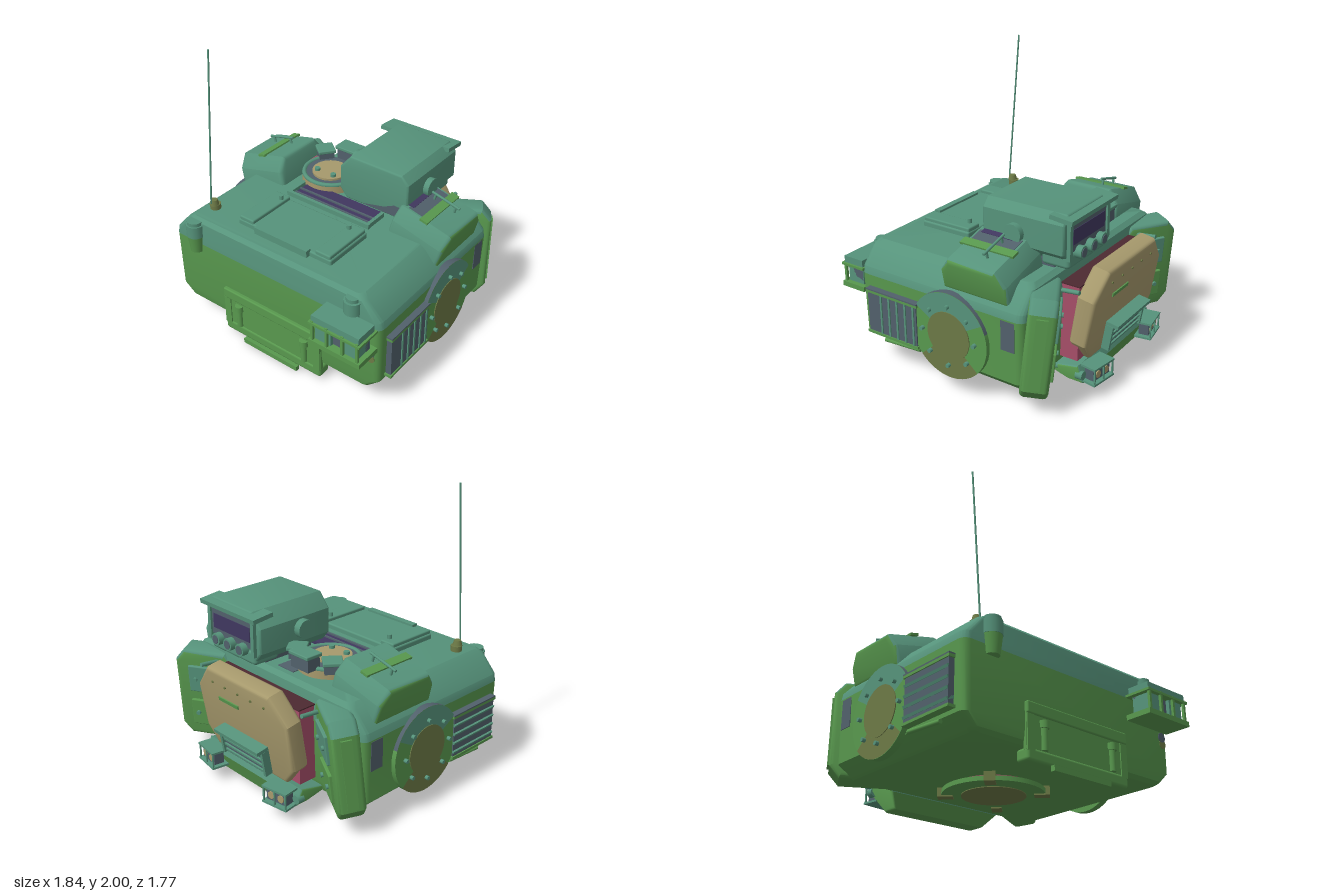
import * as THREE from 'three';
import { toCreasedNormals } from 'three/addons/utils/BufferGeometryUtils.js';
import { RoundedBoxGeometry } from 'three/addons/geometries/RoundedBoxGeometry.js';

export function createModel() {
  const paint = (name, color) => {
    const m = new THREE.MeshStandardMaterial({ color });
    m.name = name;
    return m;
  };
  const teal = paint('teal', 0x56937b), green = paint('green', 0x58984e), slate = paint('slate', 0x51606b);
  const tan = paint('tan', 0xa6996c), olive = paint('olive', 0x6c7946), purple = paint('purple', 0x40375f);
  const pink = paint('rose', 0xa54e68), maroon = paint('maroon', 0x4d2a31);

  const root = new THREE.Group();
  root.name = 'armouredTurret';
  const group = (name, x, y, z, parent = root) => {
    const g = new THREE.Group();
    g.name = name;
    g.position.set(x, y, z);
    parent.add(g);
    return g;
  };
  const add = (name, geo, mat, x, y, z, parent = root) => {
    const m = new THREE.Mesh(geo, mat);
    m.name = name;
    m.position.set(x, y, z);
    parent.add(m);
    return m;
  };
  const box = (name, mat, w, h, d, x, y, z, parent) =>
    add(name, new THREE.BoxGeometry(w, h, d), mat, x, y, z, parent);
  const soft = (name, mat, w, h, d, x, y, z, parent) =>
    add(name, new RoundedBoxGeometry(w, h, d, 2, Math.min(w, h, d) * 0.25), mat, x, y, z, parent);
  // Cylinder along axis 'x', 'y' or 'z'
  const cylGeo = (r, len, axis, r2 = r) => {
    const g = new THREE.CylinderGeometry(r, r2, len, r > 0.1 ? 40 : 14);
    if (axis === 'x') g.rotateZ(-Math.PI / 2);
    if (axis === 'z') g.rotateX(Math.PI / 2);
    return g;
  };
  const cyl = (name, mat, r, len, axis, x, y, z, parent, r2) =>
    add(name, cylGeo(r, len, axis, r2), mat, x, y, z, parent);
  const rod = (name, mat, r, a, b, parent) => {
    const p = new THREE.Vector3(...a), q = new THREE.Vector3(...b), d = q.clone().sub(p);
    const m = cyl(name, mat, r, d.length(), 'y', (a[0] + b[0]) / 2, (a[1] + b[1]) / 2, (a[2] + b[2]) / 2, parent);
    m.quaternion.setFromUnitVectors(new THREE.Vector3(0, 1, 0), d.normalize());
    return m;
  };
  // Outline extruded with rounded edges, centred on z
  const prism = (pts, depth, bevel) => {
    const g = new THREE.ExtrudeGeometry(new THREE.Shape(pts.map(p => new THREE.Vector2(...p))), {
      depth: depth - 2 * bevel, bevelThickness: bevel, bevelSize: bevel, bevelSegments: 3, bevelEnabled: true });
    g.translate(0, 0, bevel - depth / 2);
    return toCreasedNormals(g, 0.6);
  };
  // Second material on the faces whose normal passes the rule
  const twoTone = (geo, rule) => {
    const g = geo.index ? geo.toNonIndexed() : geo;
    const n = g.attributes.normal;
    g.clearGroups();
    for (let i = 0; i < n.count; i += 3) {
      const sum = [0, 1, 2].reduce((v, k) => v.add(new THREE.Vector3().fromBufferAttribute(n, i + k)), new THREE.Vector3());
      const slot = rule(sum.normalize()) ? 1 : 0, prev = g.groups[g.groups.length - 1];
      if (prev && prev.materialIndex === slot) prev.count += 3;
      else g.addGroup(i, 3, slot);
    }
    return g;
  };
  // Stack of rounded rectangles [y, halfWidth, zBack, zFront, cornerRadius]
  const loft = sections => {
    const pos = [], idx = [], n = 20;
    for (const [y, hx, zb, zf, r] of sections)
      for (let c = 0; c < 4; c++)
        for (let k = 0; k < 5; k++) {
          const a = (c + k / 4) * Math.PI / 2;
          pos.push((c === 0 || c === 3 ? hx - r : r - hx) + r * Math.cos(a), y, (c < 2 ? zf - r : zb + r) + r * Math.sin(a));
        }
    const last = (sections.length - 1) * n;
    for (let i = 0; i < n; i++) {
      const j = (i + 1) % n;
      for (let o = 0; o < last; o += n) idx.push(o + i, o + n + i, o + n + j, o + i, o + n + j, o + j);
      if (i > 0 && i < n - 1) idx.push(0, i, i + 1, last, last + i + 1, last + i);
    }
    const g = new THREE.BufferGeometry();
    g.setAttribute('position', new THREE.Float32BufferAttribute(pos, 3));
    g.setIndex(idx);
    return toCreasedNormals(g, 0.55);
  };

  // Hull in two paint bands
  add('lowerHull', loft([[0.13, 0.76, -0.55, 0.65, 0.04], [0.15, 0.79, -0.57, 0.68, 0.05], [0.22, 0.86, -0.59, 0.69, 0.05],
    [0.65, 0.87, -0.6, 0.69, 0.05]]), green, 0, 0, 0);
  add('upperHull', loft([[0.65, 0.87, -0.6, 0.69, 0.05], [0.7, 0.86, -0.6, 0.69, 0.05], [0.82, 0.75, -0.59, 0.685, 0.04],
    [0.847, 0.71, -0.56, 0.66, 0.04]]), teal, 0, 0, 0);
  cyl('paintSpot', slate, 0.034, 0.006, 'z', 0.8, 0.455, 0.69);
  cyl('paintSpot', olive, 0.03, 0.006, 'z', 0.805, 0.41, 0.69);
  box('roofPatch', slate, 0.15, 0.006, 0.2, -0.075, 0.849, -0.42);

  for (const s of [-1, 1]) {
    // Shoulder pod with green outer face, strap and grab handle
    const pod = group('shoulderPod', s * 0.67, 0.885, -0.23);
    pod.rotation.z = -s * 0.25;
    const shell = prism([[-0.22, -0.1], [0.22, -0.1], [0.215, 0], [0.16, 0.075], [-0.16, 0.075], [-0.215, 0]], 0.41, 0.03);
    add('podShell', twoTone(shell.rotateY(Math.PI / 2), n => n.x * s > 0.7), [teal, green], 0, 0, 0, pod);
    box('podStrap', green, 0.06, 0.016, 0.4, s * -0.005, 0.108, 0, pod);
    rod('handleBar', teal, 0.009, [-0.11, 0.15, -0.05], [0.11, 0.15, -0.05], pod);
    for (const x of [-0.08, 0.08]) rod('handlePost', teal, 0.009, [x, 0.1, -0.05], [x, 0.15, -0.05], pod);

    // Round side mount
    const hub = group('sideMount', s * 0.885, 0.42, -0.06);
    add('mountRing', twoTone(cylGeo(0.295, 0.05, 'x'), n => n.y > 0.35), [green, slate], -s * 0.013, 0, 0, hub);
    for (const [mat, mid, span] of [[teal, Math.PI / 2, 2.1], [olive, -Math.PI / 2, 1.7]]) {
      const arc = add('ringBand', new THREE.RingGeometry(0.165, 0.294, 24, 1, mid - span / 2, span), mat, s * 0.014, 0, 0, hub);
      arc.rotation.y = s * Math.PI / 2;
    }
    cyl('mountDisc', olive, 0.165, 0.02, 'x', s * 0.008, 0, 0, hub);
    for (let i = 0; i < 8; i++) {
      const a = i * Math.PI / 4;
      cyl('mountBolt', teal, 0.014, 0.03, 'x', s * 0.022, 0.205 * Math.sin(a), 0.205 * Math.cos(a), hub);
    }
    box('sidePatch', slate, 0.006, 0.2, 0.1, s * 0.868, 0.54, -0.49);

    // Side vent, upright bars on one side and louvres on the other
    const vent = group('sideVent', s * 0.885, 0.405, 0.4);
    box('ventPanel', slate, 0.04, 0.3, 0.41, 0, 0, 0, vent);
    box('ventRail', slate, 0.055, 0.01, 0.43, 0, 0.16, 0, vent);
    for (const y of [-0.15, 0.147]) box('ventRail', green, 0.055, 0.018, 0.43, 0, y, 0, vent);
    if (s > 0) for (let i = 0; i < 5; i++) box('ventBar', teal, 0.055, 0.28, 0.014, 0, 0, 0.09 - i * 0.068, vent);
    else for (let i = 0; i < 4; i++) box('ventLouvre', teal, 0.06, 0.018, 0.41, 0, -0.1 + i * 0.065, 0, vent).rotation.z = 0.4;
    rod('sideLever', green, 0.014, [s * 0.87, 0.2, 0.5], [s * 0.87, 0.22, 0.2]);

    // Angled rear wing with teal upper faces
    const wing = group('rearWing', s * 0.655, 0.47, -0.585);
    wing.rotation.set(-0.1, s * 0.52, 0, 'YXZ');
    add('wingShell', twoTone(prism([[-0.19, -0.25], [-0.14, -0.31], [0.14, -0.31], [0.19, -0.25], [0.19, 0.25], [0.14, 0.31],
      [-0.14, 0.31], [-0.19, 0.25]], 0.18, 0.03), n => n.y > 0.25), [green, teal], 0, 0, 0, wing);
    box('wingStrip', green, 0.02, 0.48, 0.07, s * 0.222, 0, 0, wing);
    for (const [y, mat] of [[-0.14, green], [0.13, teal]]) {
      soft('wingPlate', mat, 0.24, 0.2, 0.03, 0, y, -0.095, wing);
      for (const x of [-0.07, 0.07]) cyl('wingBolt', teal, 0.016, 0.02, 'z', x, y, -0.115, wing);
    }
    rod('wingHinge', teal, 0.014, [s * 0.51, 0.74, -0.58], [s * 0.51, 0.76, -0.77]);
  }
  // Dark paint beside the weapon
  const patch = group('podPatch', 0.67, 0.885, -0.23);
  patch.rotation.z = -0.25;
  box('slatePatch', slate, 0.11, 0.006, 0.32, -0.09, 0.105, 0, patch);
  box('purplePatch', purple, 0.04, 0.006, 0.24, -0.14, 0.108, 0.02, patch);

  // Roof hatch
  const hatch = group('roofHatch', 0, 0.845, 0.355);
  soft('hatchPlate', teal, 0.78, 0.05, 0.39, 0, 0.015, 0, hatch);
  for (const s of [-1, 1]) {
    soft('hatchRail', teal, 0.12, 0.04, 0.38, s * 0.32, 0.045, 0, hatch);
    cyl('hatchPin', teal, 0.016, 0.04, 'y', s * 0.29, 0.075, -0.13, hatch);
  }
  box('hatchLatch', teal, 0.44, 0.05, 0.045, 0, 0.03, 0.205, hatch);

  // Roof grille
  box('grilleWell', purple, 0.64, 0.03, 0.18, 0.01, 0.855, -0.02);
  box('grilleFrame', teal, 0.7, 0.04, 0.025, -0.005, 0.86, 0.075);
  for (const x of [-0.34, 0.33]) box('grilleSide', teal, 0.025, 0.04, 0.18, x, 0.86, -0.01);
  for (const z of [-0.005, 0.05]) box('grilleSlat', slate, 0.64, 0.02, 0.014, 0.01, 0.87, z);

  // Round crew hatch with three sight blocks
  const ring = group('crewHatch', -0.24, 0.85, -0.28);
  cyl('hatchBase', tan, 0.215, 0.06, 'y', 0, 0.03, 0, ring);
  cyl('hatchFloor', slate, 0.19, 0.006, 'y', 0, 0.062, 0, ring);
  add('hatchRim', new THREE.TorusGeometry(0.2, 0.017, 8, 40).rotateX(Math.PI / 2), teal, 0, 0.06, 0, ring);
  cyl('hatchLid', tan, 0.13, 0.03, 'y', 0, 0.065, 0.02, ring);
  for (const s of [-1, 1]) {
    cyl('lidPin', teal, 0.02, 0.03, 'y', s * 0.07, 0.085, 0.08, ring);
    box('ringStop', pink, 0.03, 0.04, 0.07, s * 0.205, 0.045, -0.06, ring);
  }
  for (const [a, w, h] of [[-0.9, 0.13, 0.07], [0, 0.18, 0.1], [0.9, 0.13, 0.07]]) {
    const sight = group('sightBlock', 0.21 * Math.sin(a), 0.055, -0.215 * Math.cos(a), ring);
    sight.rotation.y = -a;
    box('sightBody', slate, w - 0.02, h, 0.1, 0, h / 2, 0, sight);
    soft('sightHood', teal, w, 0.025, 0.13, 0, h, 0, sight);
  }

  // Weapon housing
  const gun = group('weaponHousing', 0, 0, 0);
  add('housingShell', prism([[0.08, 1.22], [0.48, 1.22], [0.525, 1.17], [0.525, 0.99], [0.44, 0.915], [0.05, 0.915],
    [0.005, 0.97], [0.005, 1.13]], 0.6, 0.015), teal, 0, 0, -0.37, gun);
  const camo = [[0.18, 0.912], [0.44, 0.912], [0.525, 0.99], [0.44, 0.995], [0.36, 0.955]].map(p => new THREE.Vector2(...p));
  add('housingPatch', new THREE.ShapeGeometry(new THREE.Shape(camo)), slate, 0, 0, -0.068, gun);
  box('rearVisor', teal, 0.56, 0.03, 0.16, 0.26, 1.212, -0.645, gun).rotation.x = -0.1;
  box('rearOpening', slate, 0.42, 0.19, 0.02, 0.265, 1.08, -0.672, gun);
  box('openingGap', purple, 0.38, 0.1, 0.01, 0.265, 1.08, -0.681, gun);
  for (const x of [0.04, 0.49]) box('openingPost', teal, 0.03, 0.24, 0.05, x, 1.06, -0.67, gun);
  soft('rearSill', teal, 0.46, 0.1, 0.2, 0.265, 0.925, -0.58, gun);
  for (const x of [0.14, 0.265, 0.39]) {
    cyl('launchTube', teal, 0.042, 0.07, 'z', x, 0.97, -0.69, gun);
    cyl('tubeMouth', slate, 0.03, 0.006, 'z', x, 0.97, -0.726, gun);
  }
  for (const x of [-0.025, 0.545]) cyl('trunnion', teal, 0.065, 0.07, 'x', x, 1.06, -0.32, gun);
  box('housingFoot', slate, 0.36, 0.1, 0.4, 0.27, 0.88, -0.35, gun);

  // Rear door on its neck
  box('doorNeck', pink, 0.86, 0.52, 0.16, 0, 0.49, -0.64);
  box('neckTop', maroon, 0.88, 0.008, 0.17, 0, 0.754, -0.645);
  const door = group('rearDoor', 0, 0.545, -0.755);
  door.rotation.x = -0.16;
  add('doorPanel', prism([[-0.34, -0.29], [0.34, -0.29], [0.425, -0.18], [0.425, 0.13], [0.3, 0.285], [-0.3, 0.285],
    [-0.425, 0.13], [-0.425, -0.18]], 0.13, 0.025), tan, 0, 0, 0, door);
  for (let i = -2; i <= 2; i++) cyl('doorBolt', olive, 0.008, 0.014, 'z', i * 0.13, 0.22, -0.066, door);
  box('doorSlit', green, 0.2, 0.025, 0.014, 0.12, 0.11, -0.066, door);
  const doorVent = group('doorVent', 0, -0.2, -0.08, door);
  box('ventBack', slate, 0.42, 0.18, 0.04, 0, 0, 0, doorVent);
  for (let i = 0; i < 4; i++) box('doorVentSlat', teal, 0.4, 0.014, 0.02, 0, -0.065 + i * 0.042, -0.022, doorVent);
  for (const x of [-0.215, 0.215]) box('doorVentSide', teal, 0.022, 0.18, 0.06, x, 0, -0.01, doorVent);
  box('doorVentHood', teal, 0.45, 0.025, 0.1, 0, 0.1, -0.025, doorVent);

  // Rear bumper, narrowing downwards, and caged lamps
  const bump = prism([[0.56, 0.17], [0.56, 0.13], [0.62, 0.05], [0.72, 0.05], [0.76, 0.16], [0.74, 0.21]], 0.96, 0.015);
  bump.rotateY(Math.PI / 2);
  const bp = bump.attributes.position;
  for (let i = 0; i < bp.count; i++) bp.setX(i, bp.getX(i) * Math.min(1, 0.78 + 1.8 * (bp.getY(i) - 0.04)));
  add('rearBumper', twoTone(bump, n => Math.abs(n.x) > 0.7 || n.y < -0.3), [teal, green], 0, 0, 0);
  for (const s of [-1, 1]) {
    const lamp = group('rearLamp', s * 0.35, 0.165, -0.82);
    lamp.rotation.y = s * -0.15;
    box('lampBody', slate, 0.16, 0.08, 0.07, 0, 0, 0, lamp);
    for (const x of [-0.04, 0.04]) cyl('lampLens', tan, 0.025, 0.01, 'z', x, 0, -0.038, lamp);
    for (const y of [-0.055, 0.055]) box('lampPlate', teal, 0.2, 0.014, 0.12, 0, y, 0, lamp);
    for (const x of [-0.09, 0, 0.09]) box('lampCage', teal, 0.01, 0.11, 0.01, x, 0, -0.052, lamp);
    cyl('towEye', teal, 0.03, 0.05, 'z', s * 0.46, 0.16, -0.76);
  }

  // Underside turntable
  cyl('turntableNeck', pink, 0.27, 0.05, 'y', 0, 0.12, -0.06);
  cyl('turntable', green, 0.335, 0.03, 'y', 0, 0.09, -0.06);
  cyl('turntableCentre', olive, 0.21, 0.008, 'y', 0, 0.074, -0.06);
  for (let i = 0; i < 4; i++) {
    const lug = group('turntableLug', 0, 0.095, -0.06);
    lug.rotation.y = (i + 0.5) * Math.PI / 2;
    box('lugBlock', olive, 0.07, 0.06, 0.1, 0, 0, 0.31, lug);
  }

  // Front bumper frame
  soft('bumperTop', green, 0.84, 0.075, 0.04, 0, 0.348, 0.695);
  box('bumperPlate', green, 0.84, 0.23, 0.025, 0, 0.21, 0.69);
  soft('bumperBottom', green, 0.84, 0.08, 0.1, 0, 0.07, 0.66);
  box('frontStep', green, 0.47, 0.035, 0.03, 0, 0.018, 0.717);
  for (const s of [-1, 1]) {
    box('bumperLeg', green, 0.055, 0.22, 0.03, s * 0.39, 0.2, 0.695);
    cyl('bumperPipe', green, 0.022, 0.16, 'y', s * 0.285, 0.19, 0.705);
    cyl('pipeCap', green, 0.032, 0.045, 'y', s * 0.285, 0.265, 0.705);
  }

  // Front lamp cage on the left
  const cage = group('frontLamps', 0.66, 0.6, 0.785);
  box('cageFloor', green, 0.39, 0.035, 0.19, 0, -0.092, 0, cage);
  box('cageTop', teal, 0.36, 0.06, 0.16, 0, 0.08, 0, cage);
  box('cageRail', green, 0.39, 0.016, 0.19, 0, 0.055, 0, cage);
  box('lampDivider', slate, 0.32, 0.13, 0.1, 0, -0.015, -0.01, cage);
  for (const s of [-1, 1]) {
    box('lampBox', teal, 0.12, 0.13, 0.13, s * 0.1, -0.015, 0, cage);
    for (const x of [0.06, 0.17]) box('cagePost', green, 0.018, 0.16, 0.018, s * x, -0.01, 0.08, cage);
  }
  cyl('lampSocket', teal, 0.06, 0.1, 'y', 0.66, 0.75, 0.68);
  cyl('socketCap', teal, 0.045, 0.03, 'y', 0.66, 0.81, 0.68);

  // Front canister on the right
  cyl('canisterCap', teal, 0.055, 0.03, 'y', -0.665, 0.815, 0.69);
  cyl('canisterTop', teal, 0.065, 0.09, 'y', -0.665, 0.76, 0.69);
  cyl('canister', green, 0.062, 0.13, 'y', -0.665, 0.655, 0.69, root, 0.047);

  // Whip antenna
  cyl('antennaBase', olive, 0.038, 0.04, 'y', -0.64, 0.865, 0.51);
  cyl('antennaSpring', olive, 0.024, 0.04, 'y', -0.64, 0.9, 0.52, root, 0.034);
  rod('antennaWhip', teal, 0.006, [-0.64, 0.9, 0.55], [-0.64, 2, 0.46]);
  return root;
}
